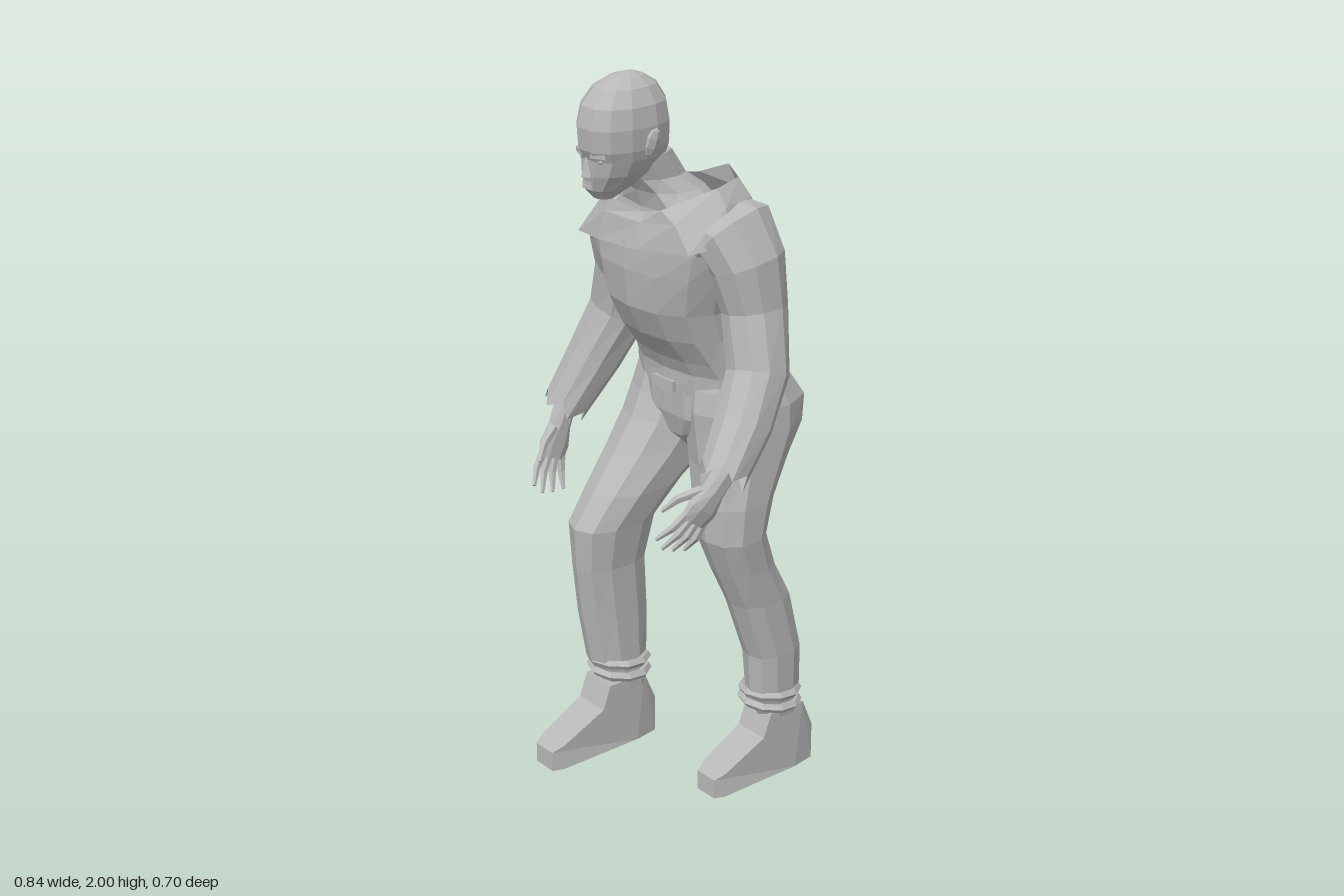
import * as THREE from 'three';

const V = (x, y, z) => new THREE.Vector3(x, y, z);
const grey = new THREE.MeshStandardMaterial({ color: 0xb8b8b8, flatShading: true, side: THREE.DoubleSide });
grey.name = 'plain grey';

// One ring of points; jag pushes every other point along the path for a torn edge
function ring(c, u, v, ru, rv, n, jag = 0) {
  const d = V(0, 0, 0).crossVectors(v, u).normalize();
  const pow = (a) => Math.sign(a) * Math.abs(a) ** 0.85;
  return Array.from({ length: n }, (_, i) => {
    const t = ((i + 0.5) / n) * Math.PI * 2;
    return c.clone().addScaledVector(u, pow(Math.cos(t)) * ru).addScaledVector(v, pow(Math.sin(t)) * rv)
      .addScaledVector(d, i % 2 ? jag : 0);
  });
}

// Skin a list of rings, optionally closing both ends
function skin(rings, capped) {
  const n = rings[0].length, pts = rings.flat(), idx = [];
  for (let i = 0; i < rings.length - 1; i++) {
    for (let j = 0; j < n; j++) {
      const a = i * n + j, b = i * n + ((j + 1) % n);
      idx.push(a, a + n, b, b, a + n, b + n);
    }
  }
  if (capped) {
    const last = (rings.length - 1) * n;
    for (let j = 1; j < n - 1; j++) idx.push(0, j, j + 1, last, last + j + 1, last + j);
  }
  const g = new THREE.BufferGeometry().setFromPoints(pts);
  g.setIndex(idx);
  const flat = g.toNonIndexed();
  flat.computeVertexNormals();
  return flat;
}

// Level cross-sections, bottom to top or top to bottom: [y, x0, x1, z0, z1]
function levels(secs, { n = 12, capped = true, jag = 0 } = {}) {
  const up = Math.sign(secs[secs.length - 1][0] - secs[0][0]);
  return skin(secs.map(([y, x0, x1, z0, z1], i) => ring(
    V((x0 + x1) / 2, y, (z0 + z1) / 2), V(1, 0, 0), V(0, 0, up), (x1 - x0) / 2, Math.abs(z1 - z0) / 2, n,
    i === 0 ? jag : 0)), capped);
}

// Cross-sections square to a path: [x, y, z, ru, rv]
function limb(secs, { n = 8, capped = true, jag = 0 } = {}) {
  const p = secs.map((s) => V(s[0], s[1], s[2])), last = p.length - 1;
  return skin(secs.map((s, i) => {
    const d = p[Math.min(i + 1, last)].clone().sub(p[Math.max(i - 1, 0)]).normalize();
    const u = V(1, 0, 0).addScaledVector(d, -d.x).normalize();
    return ring(p[i], u, u.clone().cross(d), s[3], s[4], n, i === last ? jag : 0);
  }), capped);
}

// Wedge shoe: side profile extruded across, narrowed at heel and toe
function shoeGeometry() {
  const shape = new THREE.Shape([[0, 0], [0.07, 0], [0.32, 0], [0.35, 0], [0.35, 0.055], [0.32, 0.07],
    [0.19, 0.135], [0.165, 0.2], [0.05, 0.2], [0, 0.105]].map((p) => new THREE.Vector2(...p)));
  const g = new THREE.ExtrudeGeometry(shape, { depth: 1, bevelEnabled: false });
  g.translate(0, 0, -0.5).rotateY(-Math.PI / 2);
  const pos = g.attributes.position;
  for (let i = 0; i < pos.count; i++) {
    const z = pos.getZ(i);
    const w = z < 0.01 || z > 0.34 ? 0.07 : pos.getY(i) > 0.12 ? 0.104 : 0.092;
    pos.setX(i, pos.getX(i) * w);
  }
  g.computeVertexNormals();
  return g;
}

export function createModel() {
  const model = new THREE.Group();
  const add = (name, geo, parent = model) => {
    const m = new THREE.Mesh(geo, grey);
    m.name = name;
    parent.add(m);
    return m;
  };

  // Shirt with torn hem
  add('shirt', levels([
    [1.165, -0.195, 0.218, 0.036, -0.29], [1.21, -0.188, 0.212, 0.04, -0.235], [1.25, -0.175, 0.205, 0.06, -0.198],
    [1.32, -0.17, 0.198, 0.115, -0.188], [1.4, -0.178, 0.205, 0.155, -0.178], [1.5, -0.21, 0.24, 0.168, -0.16],
    [1.57, -0.235, 0.265, 0.166, -0.138]], { n: 14, capped: false, jag: -0.06 }));

  // Shoulder yoke rising to an open, uneven collar that is higher at the back and left
  const shoulders = [[0.27, 1.6, 0.03], [0.225, 1.58, 0.135], [0.06, 1.56, 0.168], [-0.09, 1.55, 0.168], [-0.2, 1.54, 0.145],
    [-0.25, 1.54, 0.02], [-0.17, 1.55, -0.118], [0.035, 1.56, -0.138], [0.13, 1.58, -0.132], [0.24, 1.6, -0.09]]
    .map((p) => V(...p));
  const collar = [[0.21, 1.725, 0.035], [0.125, 1.67, 0.14], [0.06, 1.65, 0.135], [-0.055, 1.66, 0.15], [-0.105, 1.667, 0.085],
    [-0.155, 1.675, 0.015], [-0.06, 1.69, -0.025], [0.035, 1.71, -0.055], [0.105, 1.74, -0.09], [0.195, 1.735, -0.045]]
    .map((p) => V(...p));
  const middle = shoulders.map((p, i) => p.clone().lerp(collar[i], 0.5).add(V(0, 0.02, 0)));
  add('yoke', skin([shoulders, middle, collar], false));

  // Chest and neck
  add('neck', levels([
    [1.6, -0.17, 0.2, 0.13, -0.08], [1.655, -0.12, 0.18, 0.125, -0.07], [1.7, -0.06, 0.125, 0.14, -0.04],
    [1.735, -0.032, 0.098, 0.165, 0.008], [1.8, -0.032, 0.098, 0.2, 0.052]], { n: 10 }));

  // Head
  const head = new THREE.Group();
  head.name = 'head';
  model.add(head);
  add('skull', levels([
    [1.695, -0.015, 0.038, 0.25, 0.2], [1.72, -0.036, 0.06, 0.272, 0.15], [1.76, -0.05, 0.092, 0.282, 0.09],
    [1.8, -0.053, 0.11, 0.284, 0.068], [1.825, -0.054, 0.117, 0.297, 0.06], [1.88, -0.054, 0.121, 0.302, 0.06],
    [1.93, -0.046, 0.115, 0.29, 0.07], [1.97, -0.025, 0.095, 0.258, 0.095], [1.992, 0.003, 0.07, 0.215, 0.13],
    [2, 0.03, 0.045, 0.18, 0.155]]), head);
  const nose = add('nose', new THREE.ConeGeometry(0.018, 0.055, 4), head);
  nose.position.set(0.022, 1.787, 0.283);
  for (const s of [-1, 1]) {
    const brow = add('brow', new THREE.BoxGeometry(0.04, 0.01, 0.016), head);
    brow.position.set(0.028 + s * 0.036, 1.816, 0.277);
    brow.rotation.y = s * 0.45;
    const eye = add('eye', new THREE.SphereGeometry(0.009, 6, 4), head);
    eye.position.set(0.028 + s * 0.034, 1.801, 0.27);
  }
  for (const y of [1.738, 1.728]) {
    const lip = add('lip', new THREE.BoxGeometry(0.036, 0.008, 0.014), head);
    lip.position.set(0.014, y, 0.27);
  }
  for (const [x, y, s] of [[-0.055, 1.805, -1], [0.118, 1.84, 1]]) {
    const ear = add('ear', new THREE.SphereGeometry(1, 6, 5), head);
    ear.scale.set(0.012, 0.038, 0.022);
    ear.position.set(x, y, 0.158);
    ear.rotation.set(-0.2, 0, -0.2 * s);
  }

  // Sleeves with torn cuffs
  add('rightSleeve', limb([
    [-0.12, 1.57, 0.01, 0.05, 0.09], [-0.175, 1.545, -0.012, 0.09, 0.118], [-0.215, 1.485, -0.03, 0.083, 0.105],
    [-0.24, 1.4, -0.045, 0.073, 0.087], [-0.275, 1.27, -0.045, 0.076, 0.08], [-0.315, 1.14, 0.01, 0.07, 0.07],
    [-0.352, 1.015, 0.075, 0.062, 0.055]], { n: 10, capped: false, jag: 0.035 }));
  add('leftSleeve', limb([
    [0.16, 1.635, 0.005, 0.05, 0.085], [0.22, 1.61, -0.005, 0.095, 0.108], [0.255, 1.54, -0.02, 0.085, 0.098],
    [0.272, 1.42, -0.035, 0.073, 0.082], [0.31, 1.27, -0.015, 0.074, 0.076], [0.338, 1.16, 0.055, 0.07, 0.07],
    [0.36, 1.07, 0.13, 0.06, 0.057]], { n: 10, capped: false, jag: 0.035 }));

  // Hands: palm, four curled fingers and a thumb
  const hand = (name, side, wrist, dir) => {
    const g = new THREE.Group();
    g.name = name;
    model.add(g);
    const d = dir.normalize(), s = V(0, d.z, -d.y).normalize();
    const at = (along, across, inward, ru, rv) => {
      const p = wrist.clone().addScaledVector(d, along).addScaledVector(s, across);
      return [p.x - side * inward, p.y, p.z, ru, rv];
    };
    add('palm', limb([at(-0.06, 0, 0, 0.028, 0.03), at(0.02, 0, 0, 0.024, 0.032),
      at(0.07, 0, 0, 0.021, 0.046), at(0.11, 0, 0.004, 0.014, 0.042)], { n: 8 }), g);
    for (let i = 0; i < 4; i++) {
      const o = i - 1.5, len = 0.105 - Math.abs(o - 0.3) * 0.014;
      add('finger', limb([at(0.1, o * 0.022, 0.004, 0.011, 0.011), at(0.1 + len * 0.5, o * 0.029, 0.008, 0.01, 0.01),
        at(0.1 + len, o * 0.034, 0.028, 0.005, 0.005)], { n: 5 }), g);
    }
    add('thumb', limb([at(0.03, 0.025, 0.01, 0.013, 0.013), at(0.075, 0.06, 0.03, 0.011, 0.011),
      at(0.12, 0.07, 0.045, 0.005, 0.005)], { n: 5 }), g);
  };
  hand('rightHand', -1, V(-0.355, 0.965, 0.095), V(0.08, -0.9, 0.42));
  hand('leftHand', 1, V(0.36, 1.035, 0.155), V(-0.12, -0.8, 0.58));

  // Trousers: seat and two legs
  add('seat', levels([
    [0.97, -0.005, 0.03, -0.04, -0.18], [1.02, -0.09, 0.11, 0.012, -0.26], [1.08, -0.195, 0.222, 0.03, -0.295],
    [1.15, -0.193, 0.216, 0.034, -0.285], [1.2, -0.18, 0.207, 0.034, -0.23], [1.24, -0.168, 0.2, 0.034, -0.188]]));
  add('rightLeg', levels([
    [1.22, -0.16, -0.02, 0, -0.195], [1.17, -0.185, 0.01, 0.018, -0.27], [1.11, -0.202, 0.018, 0.035, -0.31],
    [1.04, -0.208, 0.022, 0.065, -0.3], [0.96, -0.203, 0.01, 0.115, -0.215], [0.86, -0.19, -0.005, 0.188, -0.08],
    [0.77, -0.185, -0.025, 0.245, 0], [0.65, -0.177, -0.045, 0.235, 0.025], [0.5, -0.186, -0.05, 0.212, 0.015],
    [0.36, -0.18, -0.05, 0.187, 0.02], [0.27, -0.165, -0.055, 0.14, 0.025]], { n: 10 }));
  add('leftLeg', levels([
    [1.22, 0.05, 0.19, 0, -0.195], [1.17, 0.02, 0.21, 0.022, -0.27], [1.11, 0.01, 0.228, 0.03, -0.31],
    [1.04, 0.005, 0.233, 0.022, -0.3], [0.96, 0.015, 0.236, 0.015, -0.245], [0.86, 0.047, 0.24, 0.02, -0.185],
    [0.76, 0.065, 0.237, 0.015, -0.158], [0.66, 0.075, 0.225, -0.025, -0.195], [0.55, 0.083, 0.218, -0.075, -0.255],
    [0.38, 0.088, 0.215, -0.135, -0.297], [0.26, 0.095, 0.208, -0.145, -0.3], [0.18, 0.1, 0.195, -0.18, -0.3]], { n: 10 }));

  // Belt buckle
  const buckle = add('buckle', new THREE.BoxGeometry(0.08, 0.03, 0.012));
  buckle.position.set(0.012, 1.165, 0.039);

  // Trouser cuffs (two rolled rings each) and shoes
  const feet = [['right', -0.108, 0.34, 0.1, -0.114, 0.1, 0], ['left', 0.142, 0.238, -0.222, 0.14, 0, -0.35]];
  for (const [side, x, y, z, shoeX, shoeY, heelZ] of feet) {
    for (const k of [-1, 1]) {
      const cuff = add(side + 'Cuff', new THREE.TorusGeometry(0.073, 0.013, 5, 10).rotateX(Math.PI / 2));
      cuff.scale.set(1, 1, 1.03);
      cuff.position.set(x, y + k * 0.015, z);
      cuff.rotation.set(-0.1, k * 0.3, k * 0.05);
    }
    add(side + 'Shoe', shoeGeometry()).position.set(shoeX, shoeY, heelZ);
  }
  return model;
}
